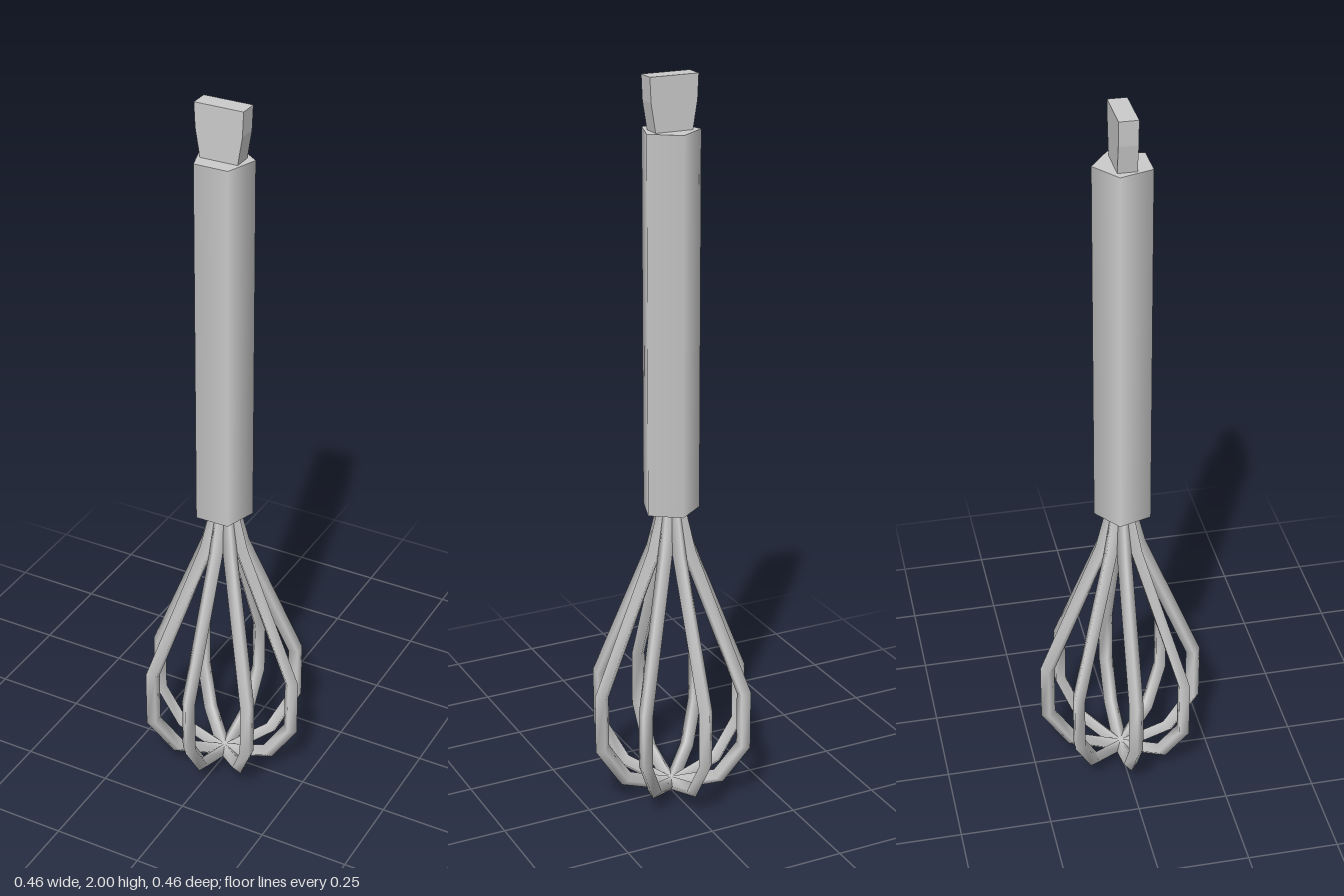
import * as THREE from 'three';

const grey = new THREE.MeshStandardMaterial({ color: 0xcccccc });

// Diamond-section wire swept along a flat path, with mitred corners
function wireLoop(path, half) {
  const pos = [], index = [];
  const dir = (a, b) => new THREE.Vector2().subVectors(b, a).normalize();
  const last = path.length - 1;
  path.forEach((p, i) => {
    const tIn = dir(path[Math.max(i - 1, 0)], path[Math.max(i, 1)]);
    const tOut = dir(path[Math.min(i, last - 1)], path[Math.min(i + 1, last)]);
    const t = tIn.clone().add(tOut).normalize();
    const m = half / t.dot(tOut);
    const nx = t.y * m, ny = -t.x * m;
    pos.push(p.x + nx, p.y + ny, 0, p.x, p.y, half);
    pos.push(p.x - nx, p.y - ny, 0, p.x, p.y, -half);
    if (i === last) return;
    for (let k = 0; k < 4; k++) {
      const a = i * 4 + k, b = i * 4 + (k + 1) % 4;
      index.push(a, a + 4, b, b, a + 4, b + 4);
    }
  });
  const g = new THREE.BufferGeometry();
  g.setAttribute('position', new THREE.Float32BufferAttribute(pos, 3));
  g.setIndex(index);
  g.computeVertexNormals();
  return g;
}

export function createModel() {
  const model = new THREE.Group();
  model.name = 'whisk';
  const add = (geometry, name, parent = model) => {
    const mesh = new THREE.Mesh(geometry, grey);
    mesh.name = name;
    parent.add(mesh);
    return mesh;
  };

  // Five-sided handle, one corner towards the back
  const handle = add(new THREE.CylinderGeometry(0.0796, 0.0796, 1.015, 5), 'handle');
  handle.rotation.y = Math.PI;
  handle.position.set(0, 1.3525, 0.0076);

  // Flared flat tab on top of the handle
  const tabShape = new THREE.Shape([
    [-0.05, 1.85], [0.05, 1.85], [0.064, 1.935], [0.067, 2], [-0.067, 2], [-0.064, 1.935],
  ].map(([x, y]) => new THREE.Vector2(x, y)));
  const tab = new THREE.ExtrudeGeometry(tabShape, { depth: 0.05, bevelEnabled: false });
  add(tab.translate(0, 0, -0.019), 'endTab');

  // Four wire loops crossing at the bottom
  const side = [[0.018, 0.86], [0.05, 0.73], [0.208, 0.335], [0.208, 0.178], [0.138, 0.07]];
  const path = [
    ...side.map(([r, y]) => new THREE.Vector2(-r, y)),
    new THREE.Vector2(0, 0.021),
    ...side.map(([r, y]) => new THREE.Vector2(r, y)).reverse(),
  ];
  const loopGeometry = wireLoop(path, 0.02);
  const wires = new THREE.Group();
  wires.name = 'wires';
  model.add(wires);
  for (let i = 0; i < 4; i++) {
    add(loopGeometry, 'wireLoop' + (i + 1), wires).rotation.y = i * Math.PI / 4;
  }
  return model;
}
